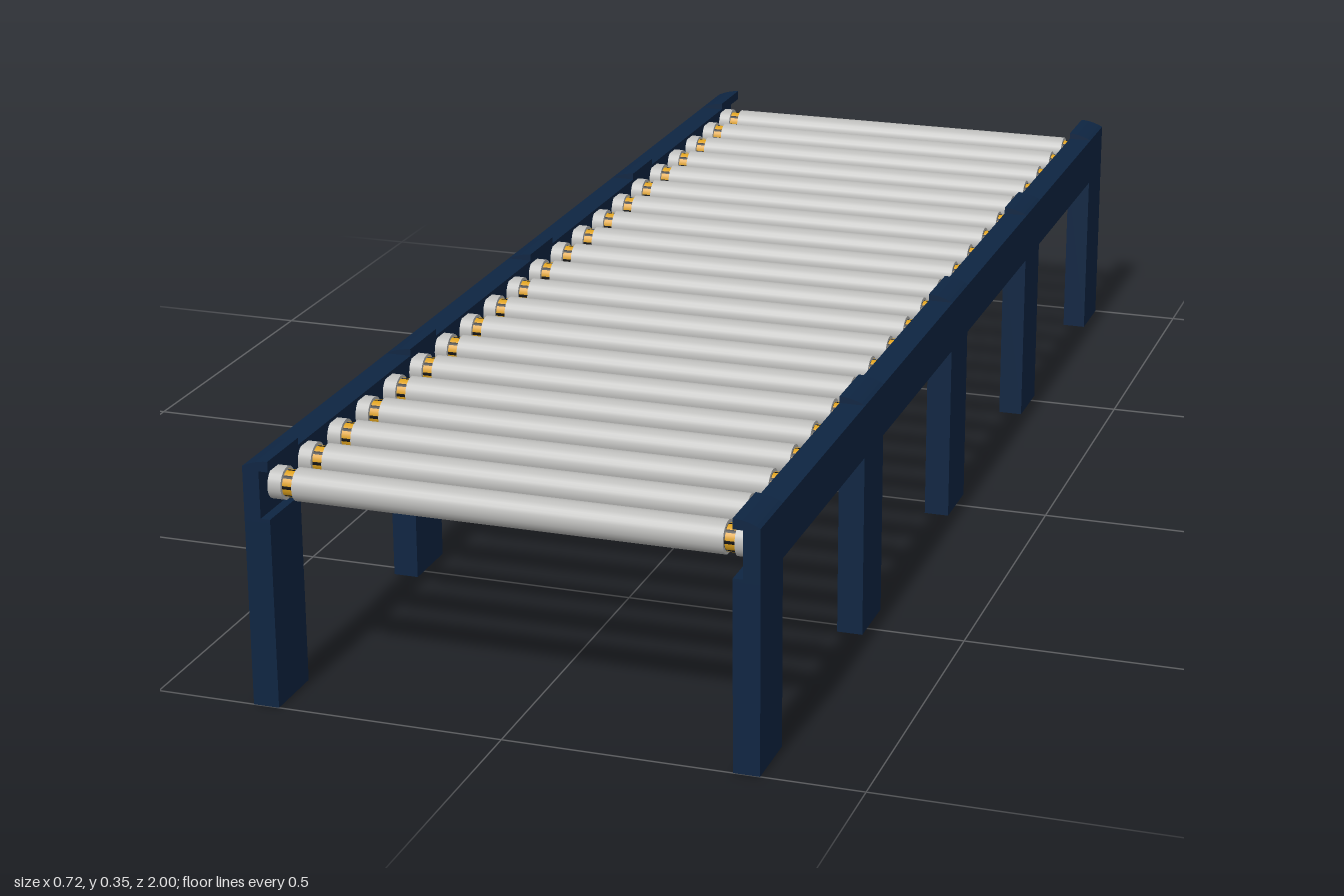
import * as THREE from 'three';

const paint = (name, color) => Object.assign(new THREE.MeshStandardMaterial({ color }), { name });

export function createModel() {
  const navy = paint('navy frame', 0x0e2542);
  const steel = paint('steel grey', 0xbcbcba);
  const gold = paint('gold drive ring', 0xdca01c);
  const black = paint('black core', 0x121212);
  const model = new THREE.Group();
  model.name = 'rollerConveyor';

  const add = (parent, name, geometry, material, x = 0, y = 0, z = 0) => {
    const mesh = new THREE.Mesh(geometry, material);
    mesh.name = name;
    mesh.position.set(x, y, z);
    parent.add(mesh);
    return mesh;
  };
  // Extrude a profile in x and y along z, centred on z = 0
  const along = (shape, depth) =>
    new THREE.ExtrudeGeometry(shape, { depth, bevelEnabled: false, curveSegments: 6 }).translate(0, 0, -depth / 2);
  const outline = (points) => new THREE.Shape(points.map(([x, y]) => new THREE.Vector2(x, y)));

  // Channel rail: thick web with a lip above and below, open to the inside
  const railGeo = along(outline([
    [0.358, 0.267], [0.358, 0.344], [0.321, 0.344], [0.321, 0.339],
    [0.3345, 0.339], [0.3345, 0.272], [0.321, 0.272], [0.321, 0.267],
  ]), 2);

  // Curved cap over the rail at each leg
  const capShape = new THREE.Shape();
  capShape.moveTo(0.321, 0.339);
  capShape.lineTo(0.358, 0.339);
  capShape.lineTo(0.358, 0.344);
  capShape.quadraticCurveTo(0.341, 0.353, 0.321, 0.354);
  capShape.closePath();
  const legWidth = 0.095;
  const capGeo = along(capShape, legWidth);

  // Hollow leg, open at the foot
  const legShape = outline([[0.321, -0.0475], [0.358, -0.0475], [0.358, 0.0475], [0.321, 0.0475]]);
  legShape.holes.push(outline([[0.326, -0.0425], [0.326, 0.0425], [0.353, 0.0425], [0.353, -0.0425]]));
  const legGeo = new THREE.ExtrudeGeometry(legShape, { depth: 0.269, bevelEnabled: false }).rotateX(-Math.PI / 2);

  // The two sides of the frame
  for (const turn of [0, Math.PI]) {
    const side = new THREE.Group();
    side.name = turn ? 'rightFrame' : 'leftFrame';
    side.rotation.y = turn;
    add(side, 'rail', railGeo, navy);
    for (let i = -2; i <= 2; i++) {
      const z = i * 0.47625;
      add(side, 'leg', legGeo, navy, 0, 0, z);
      add(side, 'legCap', capGeo, navy, 0, 0, z);
    }
    model.add(side);
  }

  // Rollers with ringed necks and end collars
  const barrel = (radius, length) =>
    new THREE.CylinderGeometry(radius, radius, length, 24).rotateZ(Math.PI / 2);
  const tubeGeo = barrel(0.023, 0.6);
  const coreGeo = barrel(0.0178, 0.018);
  const collarGeo = barrel(0.023, 0.019);
  const teeth = 8;
  const step = (Math.PI * 2) / teeth;
  const toothGeos = Array.from({ length: teeth }, (_, k) =>
    new THREE.CylinderGeometry(0.019, 0.019, 0.014, 3, 1, true, (k + 0.15) * step, step * 0.7).rotateZ(Math.PI / 2));

  for (let i = -10; i <= 10; i++) {
    const roller = new THREE.Group();
    roller.name = 'roller';
    roller.position.set(0, 0.308, i * 0.0953);
    add(roller, 'rollerTube', tubeGeo, steel);
    for (const s of [-1, 1]) {
      add(roller, 'neckCore', coreGeo, black, s * 0.308);
      add(roller, 'endCollar', collarGeo, steel, s * 0.325);
      for (const geo of toothGeos) add(roller, 'neckTooth', geo, gold, s * 0.308);
    }
    model.add(roller);
  }
  return model;
}
